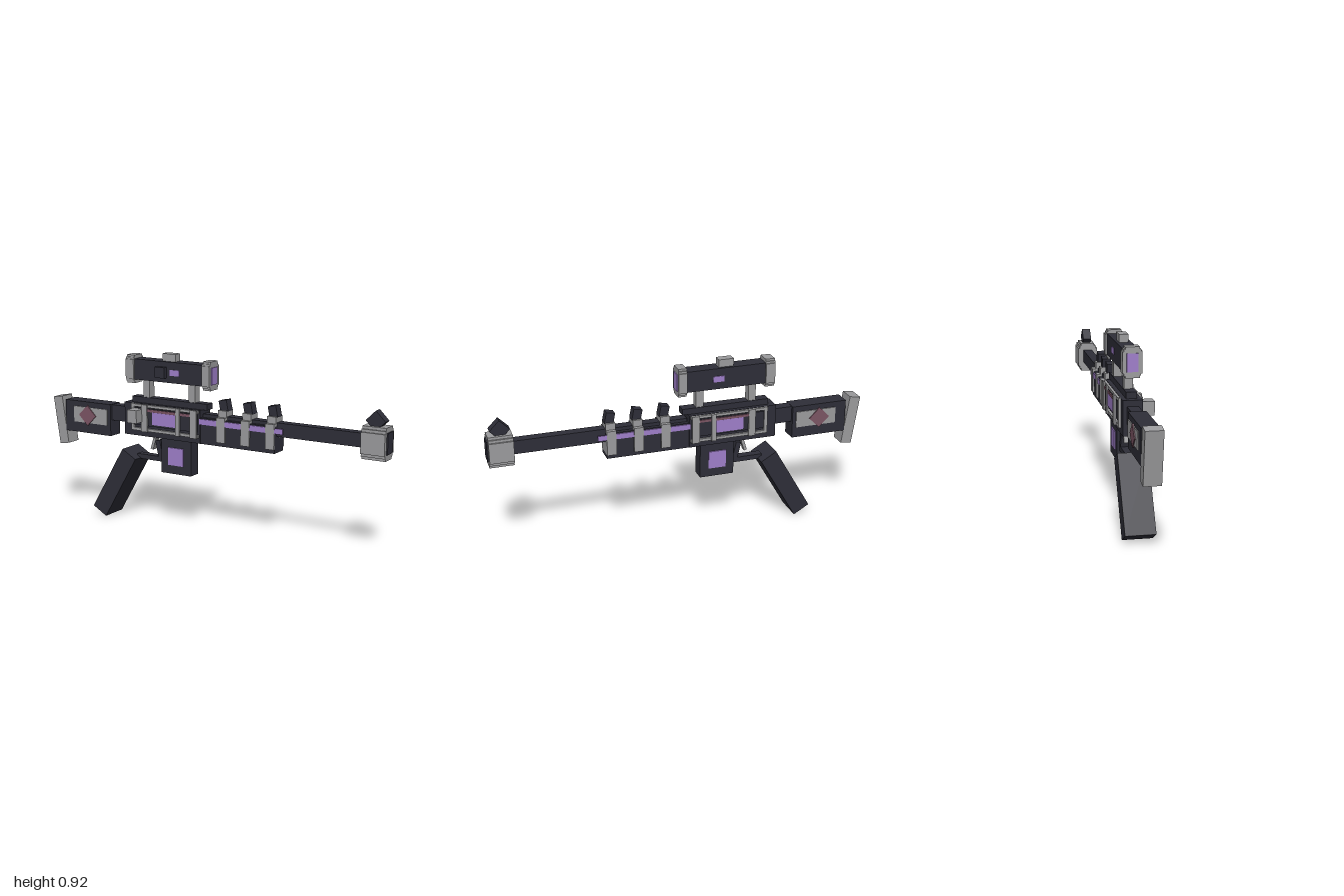
import * as THREE from 'three';

export function createModel() {
  const model = new THREE.Group();
  model.name = 'scopedRifle';
  model.position.z = -0.022; // the barrel line sits slightly off centre

  const mat = (name, color) => {
    const m = new THREE.MeshStandardMaterial({ color });
    m.name = name;
    return m;
  };
  const dark = mat('dark gunmetal', 0x2e2e38);
  const gray = mat('gray steel', 0x9c9c9e);
  const purple = mat('purple glow', 0xa07fcb);
  const red = mat('dull red', 0x7c5564);

  // box spanning x0..x1, y0..y1 with half depth hz, optionally tilted
  function box(name, material, x0, x1, y0, y1, hz, z = 0, tilt = 0) {
    const mesh = new THREE.Mesh(new THREE.BoxGeometry(x1 - x0, y1 - y0, hz * 2), material);
    mesh.position.set((x0 + x1) / 2, (y0 + y1) / 2, z);
    mesh.rotation.z = tilt;
    mesh.name = name;
    model.add(mesh);
    return mesh;
  }
  // box given by centre and size
  const tilted = (name, material, x, y, w, h, hz, tilt) =>
    box(name, material, x - w / 2, x + w / 2, y - h / 2, y + h / 2, hz, 0, tilt);
  // matching plates on both sides, from depth a to depth b
  function plates(name, material, x0, x1, y0, y1, a, b, tilt = 0) {
    for (const s of [1, -1]) {
      box(name + (s > 0 ? 'Left' : 'Right'), material, x0, x1, y0, y1, (b - a) / 2, s * (a + b) / 2, tilt);
    }
  }
  // block along x with a step-cornered cross-section
  function steppedBlock(name, x0, x1, y0, y1, hz, step) {
    const shape = new THREE.Shape();
    const h = (y1 - y0) / 2;
    const corner = [[hz, h - 2 * step], [hz - step * 0.6, h - 2 * step], [hz - step * 0.6, h - step],
      [hz - step * 1.2, h - step], [hz - step * 1.2, h]];
    const pts = [
      ...corner,
      ...corner.map(([a, b]) => [-a, b]).reverse(),
      ...corner.map(([a, b]) => [-a, -b]),
      ...corner.map(([a, b]) => [a, -b]).reverse(),
    ];
    shape.setFromPoints(pts.map(([a, b]) => new THREE.Vector2(a, b)));
    const geo = new THREE.ExtrudeGeometry(shape, { depth: x1 - x0, bevelEnabled: false });
    geo.rotateY(Math.PI / 2);
    const mesh = new THREE.Mesh(geo, gray);
    mesh.position.set(x0, (y0 + y1) / 2, 0);
    mesh.name = name;
    model.add(mesh);
  }

  // stock
  tilted('buttPad', gray, -0.95, 0.503, 0.06, 0.265, 0.043, 0.145);
  box('stock', dark, -0.915, -0.61, 0.448, 0.622, 0.043);
  box('stockNeck', dark, -0.61, -0.5, 0.535, 0.62, 0.028);
  plates('stockPlate', gray, -0.855, -0.63, 0.505, 0.592, 0.043, 0.048);
  plates('stockDiamond', red, -0.8, -0.72, 0.508, 0.588, 0.045, 0.053, Math.PI / 4);

  // receiver and top rail
  box('receiver', dark, -0.51, -0.035, 0.475, 0.65, 0.048);
  box('topRail', dark, -0.475, -0.005, 0.65, 0.682, 0.026);
  plates('sidePanel', dark, -0.44, -0.05, 0.535, 0.628, 0.048, 0.058);
  plates('energyWindow', purple, -0.325, -0.165, 0.545, 0.612, 0.058, 0.062);
  plates('redLine', red, -0.355, -0.085, 0.613, 0.626, 0.058, 0.064);
  // gray cage on both sides
  for (const [x0, x1] of [[-0.39, -0.353], [-0.175, -0.15], [-0.085, -0.045]]) {
    plates('cagePost', gray, x0, x1, 0.503, 0.65, 0.06, 0.069);
  }
  plates('cageEnd', gray, -0.46, -0.442, 0.505, 0.65, 0.048, 0.06);
  plates('cageTop', gray, -0.46, -0.04, 0.634, 0.648, 0.048, 0.06);
  plates('cageBottom', gray, -0.46, -0.04, 0.505, 0.52, 0.048, 0.06);
  box('boltKnob', gray, -0.445, -0.385, 0.555, 0.625, 0.034, 0.086);

  // fore-end, glowing strips and bands
  box('foreEnd', dark, -0.035, 0.4, 0.475, 0.612, 0.045);
  plates('glowStrip', purple, -0.04, 0.445, 0.578, 0.606, 0.045, 0.051);
  for (const x of [0.09, 0.233, 0.375]) {
    box('band', gray, x - 0.025, x + 0.025, 0.495, 0.625, 0.054);
    box('bandTop', gray, x - 0.025, x + 0.025, 0.625, 0.66, 0.034);
    tilted('coolingFin', dark, x, 0.682, 0.046, 0.06, 0.023, 0.2);
  }

  // barrel and muzzle
  box('barrel', dark, -0.03, 0.87, 0.56, 0.63, 0.025);
  steppedBlock('muzzleBlock', 0.865, 0.988, 0.508, 0.67, 0.055, 0.014);
  box('muzzleBore', dark, 0.98, 0.995, 0.54, 0.645, 0.033);
  tilted('frontSight', dark, 0.925, 0.695, 0.072, 0.072, 0.023, Math.PI / 4);

  // scope
  for (const x of [-0.385, -0.1]) box('scopeMount', gray, x - 0.02, x + 0.02, 0.68, 0.775, 0.022);
  box('scopeTube', dark, -0.46, -0.01, 0.775, 0.885, 0.038);
  steppedBlock('scopeRearCap', -0.5, -0.45, 0.754, 0.904, 0.048, 0.011);
  steppedBlock('scopeFrontCap', -0.025, 0.02, 0.754, 0.904, 0.048, 0.011);
  box('frontLens', purple, 0.018, 0.025, 0.784, 0.873, 0.028);
  box('rearLens', purple, -0.505, -0.498, 0.784, 0.873, 0.028);
  box('scopeTopKnob', gray, -0.28, -0.2, 0.885, 0.925, 0.023);
  box('scopeSideKnob', dark, -0.305, -0.245, 0.8, 0.857, 0.013, 0.05);
  plates('scopeLight', purple, -0.225, -0.165, 0.814, 0.845, 0.038, 0.042);

  // magazine
  box('magazine', dark, -0.285, -0.1, 0.288, 0.48, 0.035);
  plates('magazineLight', purple, -0.24, -0.145, 0.335, 0.43, 0.035, 0.041);

  // grip, trigger and guard
  tilted('grip', dark, -0.57, 0.198, 0.096, 0.4, 0.075, -0.53);
  box('triggerGuard', dark, -0.45, -0.285, 0.342, 0.368, 0.022);
  tilted('guardPost', dark, -0.307, 0.405, 0.028, 0.1, 0.022, 0.22);
  tilted('trigger', gray, -0.35, 0.432, 0.016, 0.065, 0.015, -0.3);

  const group = new THREE.Group();
  group.add(model);
  return group;
}
